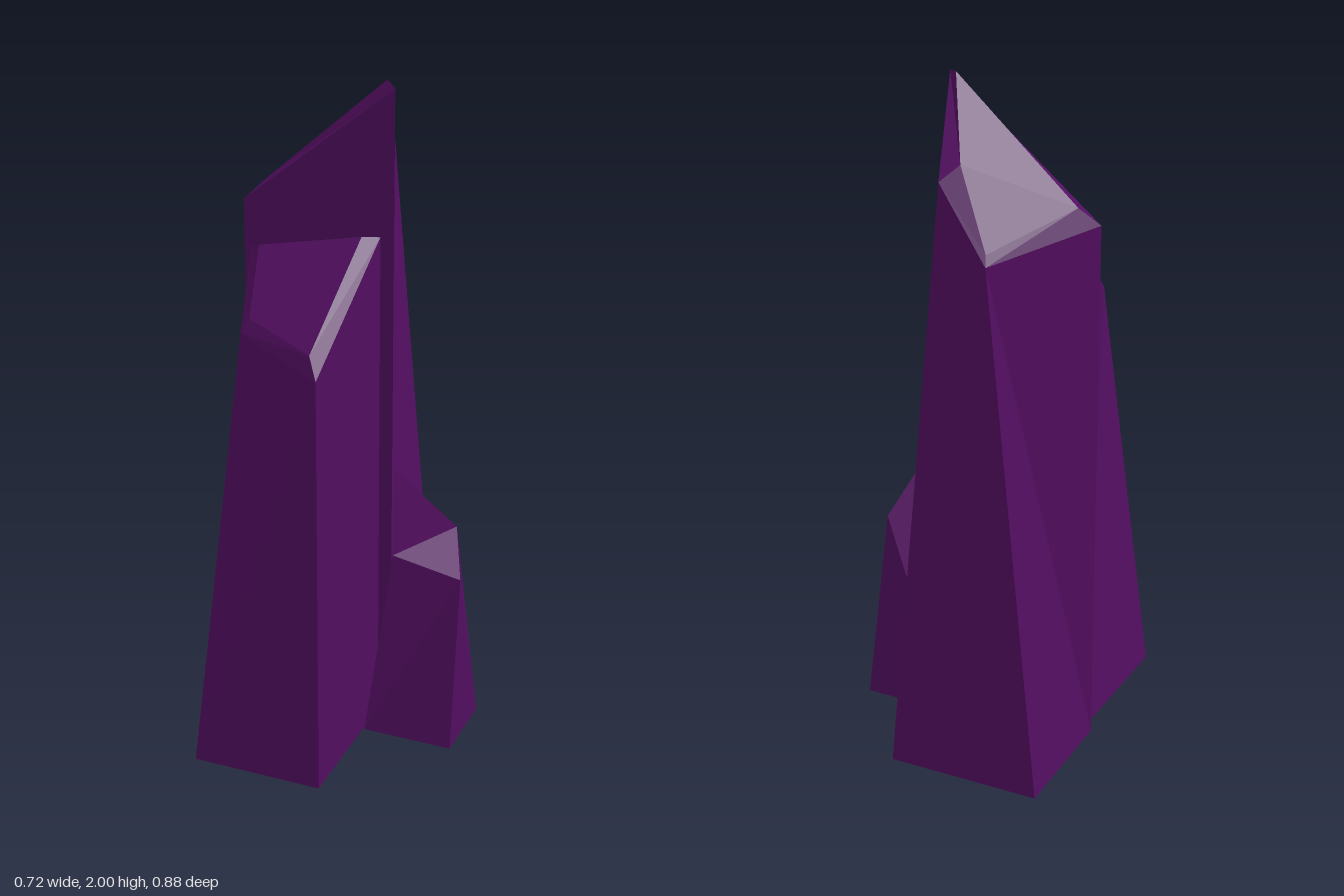
import * as THREE from 'three';

const material = new THREE.MeshStandardMaterial({ color: 0x520e60, flatShading: true });

// Shard from four-cornered rings stacked upwards.
// Corner order: front left-of-picture, front right, back right, back left.
function shard(name, rings) {
  const pos = [];
  const tri = (...pts) => pts.forEach((p) => pos.push(...p));
  const dist = (a, b) => Math.hypot(a[0] - b[0], a[1] - b[1], a[2] - b[2]);
  // Split each quad along its shorter diagonal
  const quad = (a, b, c, d) => {
    if (dist(a, c) <= dist(b, d)) { tri(a, b, c); tri(a, c, d); }
    else { tri(a, b, d); tri(b, c, d); }
  };
  for (let r = 0; r + 1 < rings.length; r++) {
    for (let i = 0; i < 4; i++) {
      const j = (i + 1) % 4;
      quad(rings[r][i], rings[r][j], rings[r + 1][j], rings[r + 1][i]);
    }
  }
  quad(...rings[rings.length - 1]);
  quad(...[...rings[0]].reverse());

  const geometry = new THREE.BufferGeometry();
  geometry.setAttribute('position', new THREE.Float32BufferAttribute(pos, 3));
  geometry.computeVertexNormals();
  const mesh = new THREE.Mesh(geometry, material);
  mesh.name = name;
  return mesh;
}

export function createModel() {
  const group = new THREE.Group();
  group.name = 'crystalCluster';

  group.add(
    // Tall shard at the back: base, slanted rim, bevelled cap
    shard('tallCrystal', [
      [[-0.352, 0, -0.035], [0.108, 0, -0.042], [0.103, 0, -0.443], [-0.36, 0, -0.436]],
      [[-0.352, 1.61, -0.035], [0.108, 1.99, -0.042], [0.005, 1.76, -0.305], [-0.16, 1.56, -0.352]],
      [[-0.30, 1.665, -0.075], [0.07, 2.0, -0.08], [-0.035, 1.8, -0.255], [-0.152, 1.59, -0.335]],
    ]),
    // Middle shard at the front
    shard('middleCrystal', [
      [[-0.325, 0, 0.44], [0.075, 0, 0.44], [0.075, 0, -0.022], [-0.325, 0, -0.022]],
      [[-0.24, 1.32, 0.24], [0.075, 1.31, 0.44], [0.075, 1.56, -0.022], [-0.325, 1.475, -0.022]],
      [[-0.222, 1.36, 0.22], [0.035, 1.36, 0.39], [0.035, 1.57, 0.02], [-0.28, 1.5, 0.02]],
    ]),
    // Small pointed shard at the side
    shard('smallCrystal', [
      [[0.08, 0, 0.1], [0.357, 0, 0.1], [0.357, 0, -0.138], [0.08, 0, -0.138]],
      [[0.168, 0.625, 0.1], [0.355, 0.547, 0.033], [0.28, 0.625, -0.138], [0.17, 0.9, 0.09]],
    ]),
  );
  return group;
}
